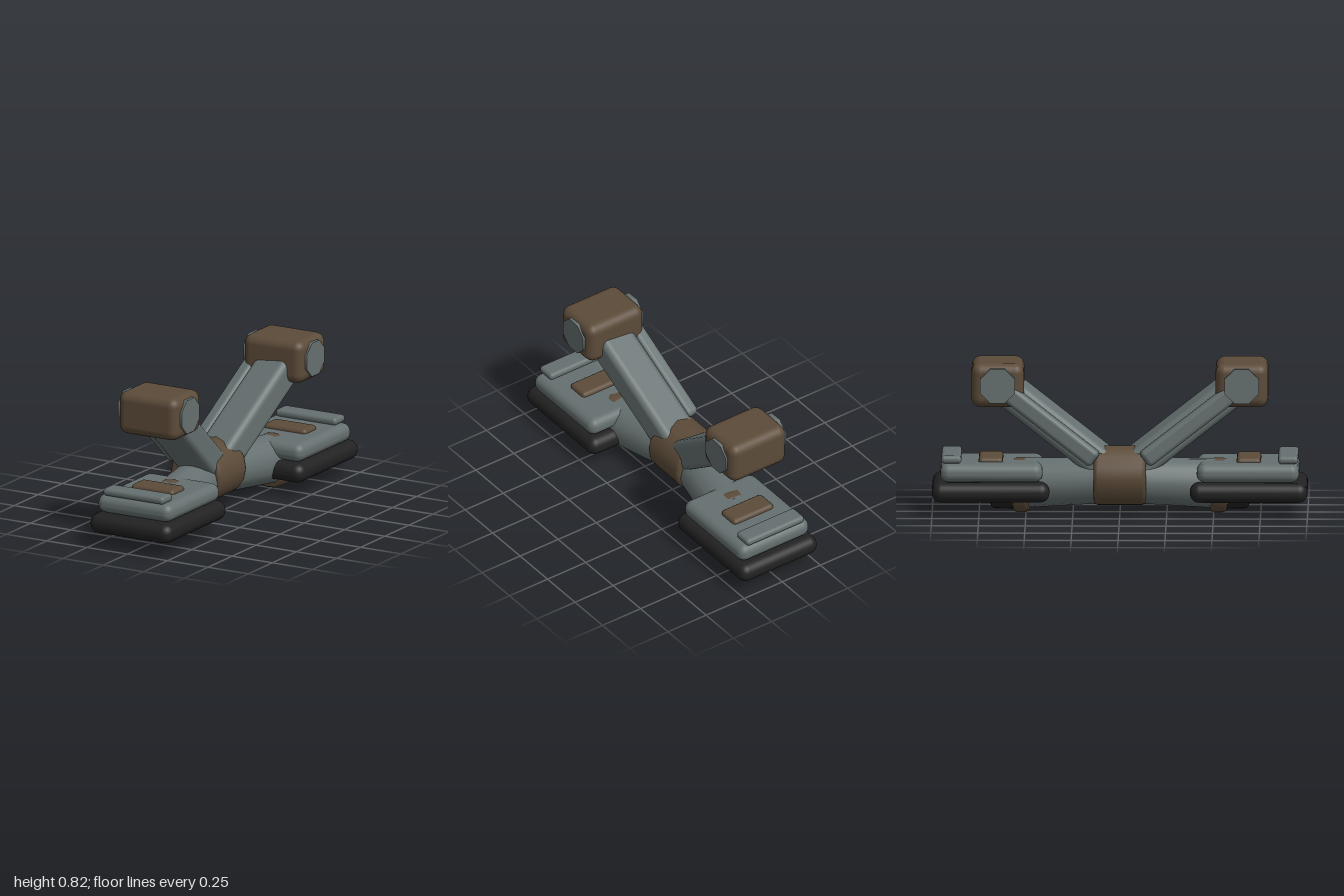
import * as THREE from 'three';
import { RoundedBoxGeometry } from 'three/addons/geometries/RoundedBoxGeometry.js';

const mat = (name, color) => {
  const m = new THREE.MeshStandardMaterial({ color });
  m.name = name;
  return m;
};

export function createModel() {
  const model = new THREE.Group();
  const grey = mat('steel grey', 0x667070);
  const brown = mat('bronze brown', 0x5c4b39);
  const black = mat('rubber black', 0x222222);

  const add = (name, geometry, material, parent) => {
    const mesh = new THREE.Mesh(geometry, material);
    mesh.name = name;
    parent.add(mesh);
    return mesh;
  };

  // Rounded block given by its centre and size
  const block = (name, material, parent, [x, y, z], [w, h, d], r) => {
    const mesh = add(name, new RoundedBoxGeometry(w, h, d, 3, r), material, parent);
    mesh.position.set(x, y, z);
    return mesh;
  };

  // Rounded beam running from a to b
  const beam = (name, material, parent, a, b, w, h, r) => {
    const mesh = add(name, new RoundedBoxGeometry(w, h, a.distanceTo(b), 3, r), material, parent);
    mesh.position.copy(a).lerp(b, 0.5);
    const target = b.clone();
    mesh.lookAt(target);
    return mesh;
  };

  // Round drum with softened rims, its axis running from a to b
  const drum = (name, material, parent, a, b, ra, rb, bevel, sides = 18) => {
    const half = a.distanceTo(b) / 2, c = bevel * 0.3;
    const profile = [
      [0, -half], [ra - bevel, -half], [ra - c, -half + c], [ra, -half + bevel],
      [rb, half - bevel], [rb - c, half - c], [rb - bevel, half], [0, half],
    ].map(([x, y]) => new THREE.Vector2(x, y));
    const mesh = add(name, new THREE.LatheGeometry(profile, sides), material, parent);
    mesh.position.copy(a).lerp(b, 0.5);
    mesh.quaternion.setFromUnitVectors(new THREE.Vector3(0, 1, 0), b.clone().sub(a).normalize());
    return mesh;
  };

  // Central hub
  const V = (x, y, z) => new THREE.Vector3(x, y, z);
  drum('hub', brown, model, V(-0.093, 0.215, -0.14), V(-0.093, 0.215, 0.14), 0.161, 0.161, 0.025, 16);

  for (const s of [1, -1]) {
    const half = new THREE.Group();
    half.name = s > 0 ? 'frontHalf' : 'backHalf';
    model.add(half);
    const P = (x, y, z) => V(x, y, z * s);

    // Lower limb, ankle collar and dark end cap
    drum('lowerLimb', grey, half, P(-0.09, 0.188, 0.08), P(-0.01, 0.16, 0.56), 0.122, 0.134, 0.01);
    drum('ankleCollar', brown, half, P(-0.016, 0.152, 0.48), P(-0.008, 0.15, 0.57), 0.147, 0.147, 0.025);
    drum('ankleCap', black, half, P(-0.005, 0.145, 0.54), P(0, 0.14, 0.69), 0.122, 0.117, 0.02);

    // Foot
    block('sole', black, half, [0.003, 0.137, 0.687 * s], [0.506, 0.106, 0.626], 0.05);
    block('footUpper', grey, half, [0.005, 0.24, 0.683 * s], [0.458, 0.1, 0.545], 0.045);
    block('toeBar', grey, half, [0.003, 0.309, 0.897 * s], [0.376, 0.042, 0.108], 0.019);
    block('footPlate', brown, half, [0.003, 0.285, 0.687 * s], [0.265, 0.056, 0.13], 0.022);

    // Upper arm with its parallel side strut
    beam('upperArm', grey, half, P(-0.087, 0.23, 0.025), P(0, 0.7, 0.64), 0.215, 0.165, 0.04);
    beam('sideStrut', grey, half, P(-0.218, 0.315, 0.13), P(-0.157, 0.672, 0.6), 0.078, 0.095, 0.025);

    // Head block with octagonal side caps
    block('headBlock', brown, half, [-0.009, 0.708, 0.65 * s], [0.366, 0.235, 0.28], 0.05);
    const caps = new THREE.CylinderGeometry(0.1, 0.1, 0.394, 8, 1);
    caps.rotateY(Math.PI / 8).rotateZ(Math.PI / 2);
    add('sideCaps', caps, grey, half).position.set(-0.013, 0.711, 0.65 * s);
  }
  return model;
}
